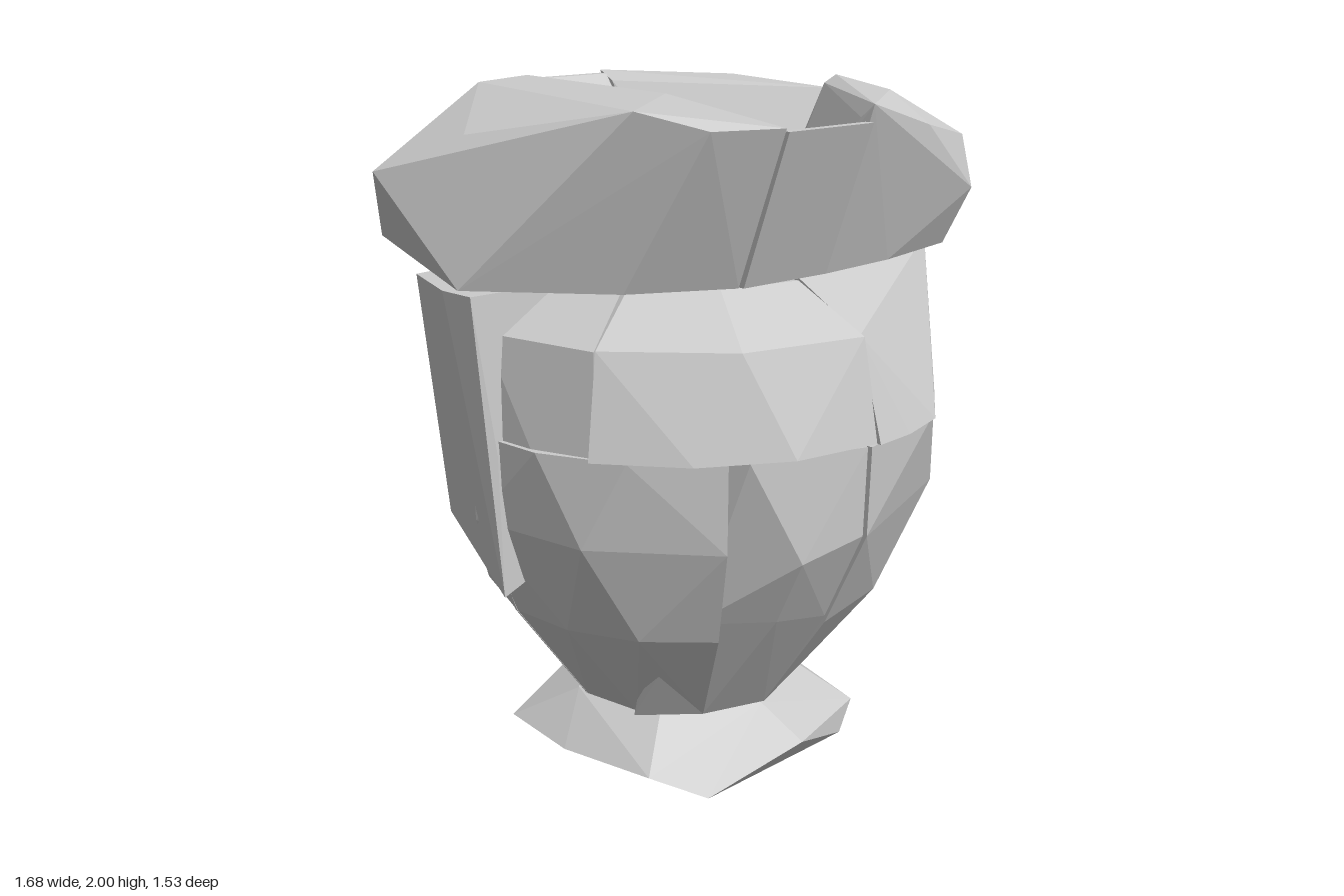
import * as THREE from 'three';
import { ConvexGeometry } from 'three/addons/geometries/ConvexGeometry.js';

const material = new THREE.MeshStandardMaterial({ color: 0xcccccc, flatShading: true });
const V = (p) => new THREE.Vector3(...p);

// Point at an angle in degrees: 0 is the front, 90 is +x
function polar(deg, r, y) {
  const a = THREE.MathUtils.degToRad(deg);
  return [r * Math.sin(a), y, r * Math.cos(a)];
}

// Corner points of a wedge of the vase; rows are [radius, height, segments]
function wedge(a0, a1, rows) {
  const points = [];
  for (const [r, y, n] of rows)
    for (let i = 0; i <= n; i++) points.push(polar(a0 + ((a1 - a0) * i) / n, r, y));
  return points;
}

export function createModel() {
  const model = new THREE.Group();
  const chunk = (name, points) => {
    const mesh = new THREE.Mesh(new ConvexGeometry(points.map(V)), material);
    mesh.name = name;
    model.add(mesh);
  };

  // Foot: uneven flat disc
  chunk('foot', [
    [-0.3, 0, 0.1], [-0.27, 0, 0.43], [0.33, 0, 0.37], [0.43, 0, 0.05],
    [0.38, 0, -0.3], [0.05, 0, -0.47], [-0.28, 0, -0.36],
    [-0.47, 0.06, 0], [-0.42, 0.08, 0.34], [0.08, 0.08, 0.46], [0.41, 0.08, 0.34],
    [0.51, 0.08, -0.1], [0.46, 0.1, -0.28], [0.1, 0.12, -0.47], [-0.46, 0.07, -0.28],
    ...wedge(0, 360, [[0.36, 0.2, 7]]),
  ]);

  // Belly: chunky wedges around a small hollow
  const belly = (n, top, side = 0.75) => [
    [0, 0.2, 1], [0.15, 0.55, 1], [0.17, top, 1],
    [0.36, 0.2, n], [0.6, 0.53, n + 1], [side, 0.83, n], [side + 0.01, top, n + 1],
  ];
  chunk('bellyFrontRight', wedge(2, 91, belly(2, 1.09)));
  chunk('bellyFrontStrip', [
    ...wedge(-31, 2, [[0, 0.2, 1], [0.17, 1.09, 1], [0.36, 0.2, 1]]),
    [-0.36, 0.21, 0.2], [-0.36, 0.58, 0.46], [-0.36, 1.09, 0.6], [-0.33, 1.09, 0.66],
    [-0.17, 0.78, 0.7], [-0.15, 0.57, 0.58], [0.02, 0.55, 0.6], [0.02, 0.83, 0.74], [0.02, 1.09, 0.75],
  ]);
  chunk('bellyFrontLeft', wedge(-95, -31, belly(2, 1.09, 0.72)));
  chunk('bellyBackRight', wedge(91, 115, belly(1, 1.27)));
  chunk('bellyBackLeft', wedge(180, 266, belly(2, 1.1, 0.71)));

  // Broad faceted panel across the back
  chunk('bellyBack', [
    [0.73, 1.27, -0.29], [0.72, 1.27, -0.35], [0.53, 1.27, -0.56], [0.25, 1.27, -0.72], [0, 1.27, -0.77],
    [0, 0.88, -0.76], [0.22, 0.77, -0.72], [0.65, 0.78, -0.39], [0.64, 0.57, -0.28],
    [0.08, 0.51, -0.59], [0, 0.2, -0.36], [0.29, 0.2, -0.25],
    [0, 0.2, 0], [0.15, 1.27, -0.07], [0, 1.27, -0.17],
  ]);

  // Big block on one side, bridging the belly and the neck
  chunk('sideBlock', [
    [-0.78, 1.5, 0.04], [-0.79, 1.5, -0.08], [-0.72, 1.5, -0.32], [-0.04, 1.5, -0.44], [-0.16, 1.5, 0.04],
    [-0.03, 1.26, -0.77], [-0.03, 0.82, -0.74], [-0.46, 1.09, -0.58],
    [-0.54, 0.8, -0.48], [-0.71, 0.63, 0.06], [-0.68, 0.8, -0.25],
    [-0.72, 1.05, 0.06], [-0.16, 0.85, 0.04],
  ]);

  // Shoulders
  chunk('shoulderFrontLeft', wedge(-60, 5, [
    [0.17, 1.09, 1], [0.17, 1.5, 1], [0.75, 1.09, 3], [0.69, 1.38, 2], [0.45, 1.5, 2],
  ]));
  chunk('shoulderSide', wedge(-92, -60, [
    [0.17, 1.09, 1], [0.17, 1.5, 1], [0.71, 1.09, 2], [0.7, 1.38, 1], [0.5, 1.5, 1],
  ]));
  chunk('shoulderBack', wedge(90, 182, [
    [0.17, 1.27, 1], [0.17, 1.5, 1], [0.755, 1.27, 4], [0.64, 1.41, 3], [0.45, 1.5, 3],
  ]));
  chunk('shoulderFrontRight', [
    [0.06, 1.09, 0.76], [0.06, 1.38, 0.67], [0.06, 1.5, 0.43], [0.2, 1.09, 0.74],
    [0.37, 1.09, 0.68], [0.6, 1.09, 0.47], [0.77, 1.09, 0.18], [0.77, 1.09, 0], [0.83, 1.5, 0.2],
    [0.78, 1.5, 0], [0.2, 1.5, 0], [0.2, 1.09, 0], [0.06, 1.09, 0.2], [0.06, 1.5, 0.2],
  ]);

  // Flared rim: solid slab on one side
  chunk('rimSlab', [
    [-0.12, 2, -0.6], [-0.15, 2, 0.1], [-0.16, 1.95, 0.6], [-0.36, 1.95, 0.53], [-0.5, 2, 0.39],
    [-0.36, 2, -0.51], [-0.69, 1.91, -0.1], [-0.84, 1.8, -0.33], [-0.76, 1.6, -0.43],
    [-0.76, 1.5, -0.05], [-0.62, 1.5, -0.24], [-0.45, 1.5, 0.28],
    [-0.16, 1.5, 0.42], [-0.13, 1.5, -0.45],
  ]);

  // Thin rim walls at the front and back
  for (const [name, s, top] of [['rimFront', 1, 1.94], ['rimBack', -1, 1.99]])
    chunk(name, [-0.15, 0.165].flatMap((x) => [
      [x, top, 0.6 * s], [x, top, 0.57 * s], [x, 1.5, 0.43 * s], [x, 1.5, 0.2 * s],
    ]));

  // Rim chunks sloping down into the mouth
  chunk('rimFrontRight', [
    [0.165, 1.99, 0.6], [0.165, 1.95, 0.55], [0.62, 2, 0], [0.55, 1.98, 0.02], [0.48, 1.99, 0.36],
    [0.84, 1.83, 0.33], [0.8, 1.68, 0.41], [0.5, 1.9, 0.5], [0.78, 1.5, 0.32], [0.78, 1.5, 0.02],
    [0.45, 1.5, 0.4], [0.165, 1.5, 0.43], [0.1, 1.5, 0.2], [0.27, 1.5, 0.02],
  ]);
  chunk('rimBackRight', [
    [0.165, 2, -0.6], [0.165, 1.97, -0.54], [0.4, 1.98, -0.52], [0.54, 1.98, -0.39],
    [0.63, 1.95, -0.22], [0.58, 1.9, -0.04], [0.6, 1.96, 0],
    [0.44, 1.5, 0], [0.4, 1.5, -0.25], [0.165, 1.5, -0.45], [0.165, 1.5, -0.2], [0.27, 1.5, 0],
  ]);

  return model;
}
